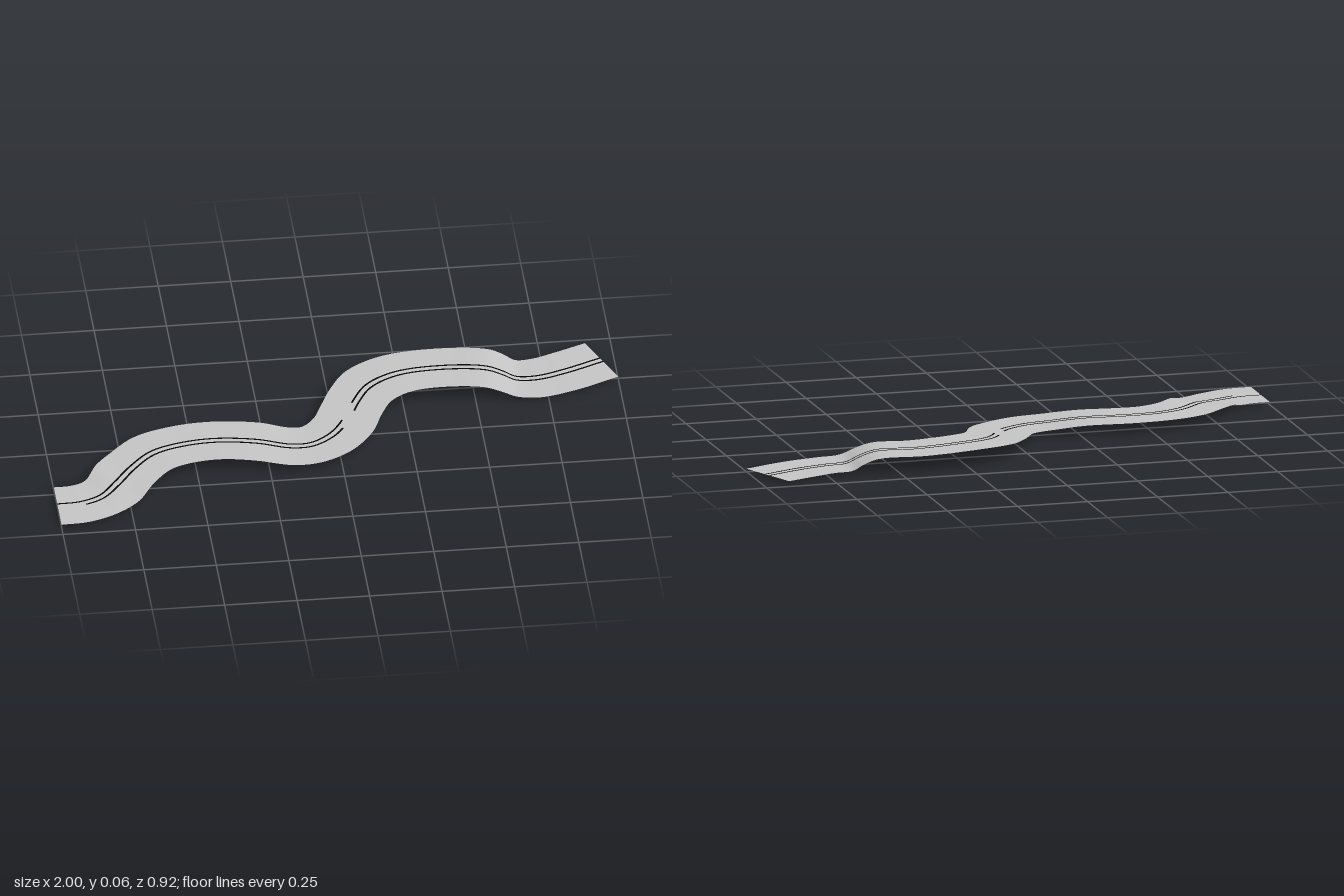
import * as THREE from 'three';

// Cross-sections from one end to the other: far edge x, y, z, then near edge x, y, z
const sections = [
  [-1, .01, .22, -1, .01, .455],
  [-.94, .01, .217, -.9, .01, .447],
  [-.89, .012, .195, -.8, .01, .405],
  [-.845, .03, .13, -.72, .015, .345],
  [-.79, .035, .07, -.66, .034, .27],
  [-.7, .038, -.015, -.59, .038, .195],
  [-.59, .039, -.06, -.51, .038, .163],
  [-.44, .04, -.08, -.41, .04, .157],
  [-.26, .037, -.06, -.3, .038, .175],
  [-.165, .025, -.038, -.17, .026, .2],
  [-.115, .022, -.04, -.07, .024, .19],
  [-.07, .027, -.08, .04, .026, .13],
  [-.035, .035, -.15, .12, .035, .04],
  [.005, .045, -.23, .165, .043, -.06],
  [.07, .054, -.32, .205, .053, -.12],
  [.2, .06, -.39, .28, .058, -.163],
  [.41, .056, -.42, .41, .056, -.18],
  [.57, .052, -.402, .53, .054, -.165],
  [.62, .034, -.392, .59, .036, -.157],
  [.66, .012, -.385, .64, .016, -.152],
  [.72, .01, -.39, .72, .01, -.147],
  [.79, .01, -.415, .85, .01, -.18],
  [.91, .01, -.465, 1, .01, -.245],
];
const last = sections.length - 1;
const edge = (k) => new THREE.CatmullRomCurve3(
  sections.map((s) => new THREE.Vector3(s[k], s[k + 1], s[k + 2])));
const farEdge = edge(0), nearEdge = edge(3);

// Ribbon lying across fractions v0..v1 of the road, between sections u0..u1
function ribbon(u0, u1, v0, v1, across, lift) {
  const along = Math.ceil((u1 - u0) * 6), pos = [], index = [];
  for (let i = 0; i <= along; i++) {
    const u = u0 + (u1 - u0) * i / along;
    const a = farEdge.getPoint(u / last), b = nearEdge.getPoint(u / last);
    for (let j = 0; j <= across; j++) {
      const p = a.clone().lerp(b, v0 + (v1 - v0) * j / across);
      pos.push(p.x, p.y + lift, p.z);
      if (i < along && j < across) {
        const n = i * (across + 1) + j, m = n + across + 1;
        index.push(n, n + 1, m, n + 1, m + 1, m);
      }
    }
  }
  const g = new THREE.BufferGeometry();
  g.setAttribute('position', new THREE.Float32BufferAttribute(pos, 3));
  g.setIndex(index);
  g.computeVertexNormals();
  return g;
}

export function createModel() {
  const asphalt = new THREE.MeshStandardMaterial({ color: 0xc4c4c4, side: THREE.DoubleSide });
  asphalt.name = 'light grey road';
  const paint = new THREE.MeshStandardMaterial({ color: 0x050505, side: THREE.DoubleSide });
  paint.name = 'black paint';
  const model = new THREE.Group();
  model.name = 'windingRoad';
  const add = (name, geometry, material) => {
    const mesh = new THREE.Mesh(geometry, material);
    mesh.name = name;
    model.add(mesh);
  };

  // Road surface
  add('roadSurface', ribbon(0, last, 0, 1, 8, 0), asphalt);

  // Twin centre lines; the near one starts sunk beneath the road
  const lines = [
    ['farLine', .435, 0, 11.8, .001], ['farLine', .435, 12.8, last, .001],
    ['nearLine', .535, 0, 1.2, -.01], ['nearLine', .535, 1.2, 11.5, .001],
    ['nearLine', .535, 12.5, last, .001],
  ];
  for (const [name, v, u0, u1, lift] of lines)
    add(name, ribbon(u0, u1, v, v + .03, 1, lift), paint);
  return model;
}
